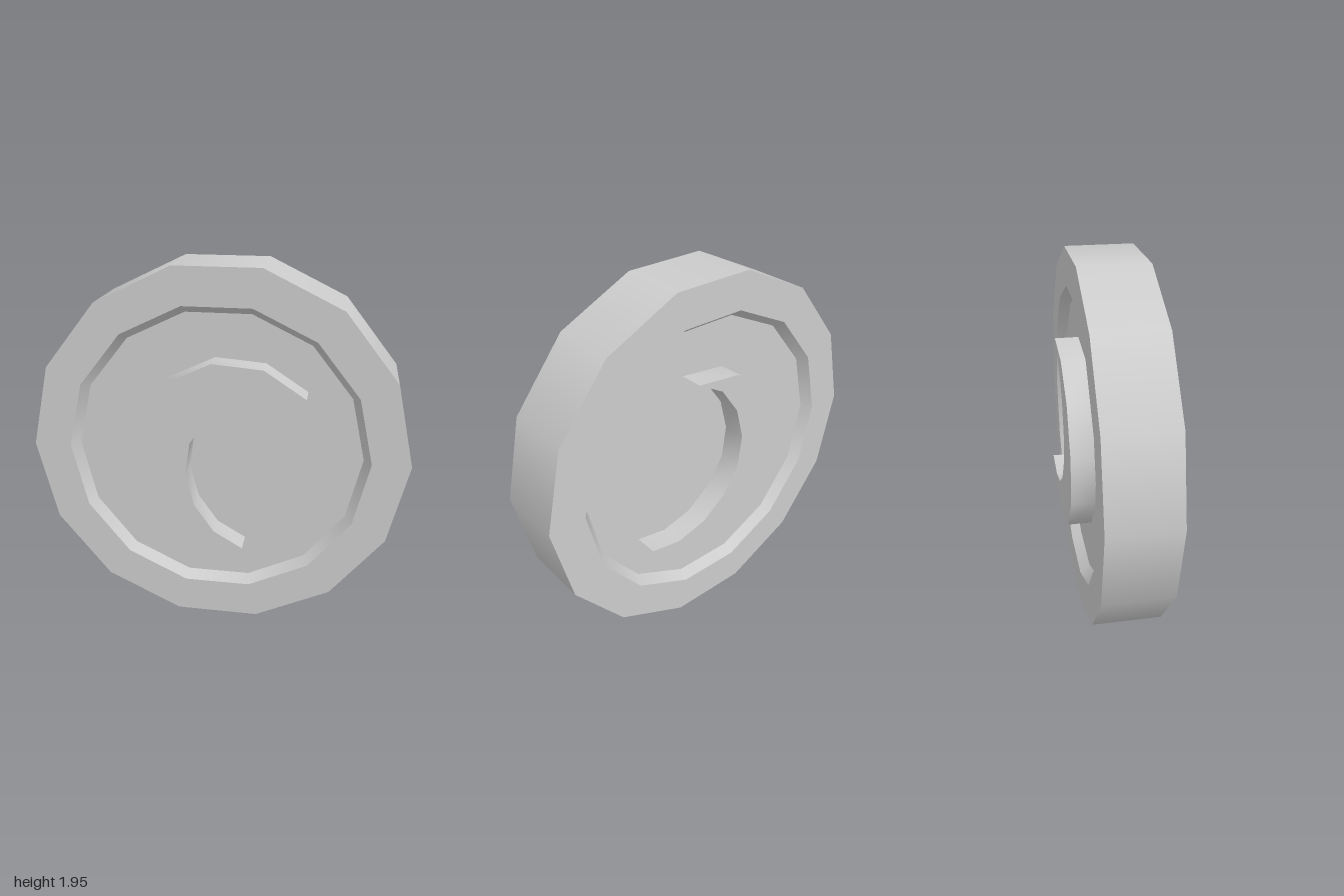
import * as THREE from 'three';
import { toCreasedNormals } from 'three/addons/utils/BufferGeometryUtils.js';

const SIDES = 14;
const CENTRE_Y = Math.cos(Math.PI / SIDES);
const FLOOR_Z = 0.125;

export function createModel() {
  const metal = new THREE.MeshStandardMaterial({ color: 0xcccccc });
  metal.name = 'light grey metal';

  const coin = new THREE.Group();
  coin.name = 'coin';
  coin.position.y = CENTRE_Y;

  // Disc: one lathe band per face so the edges between bands stay sharp
  const profile = [
    [0, -FLOOR_Z], [0.76, -FLOOR_Z], [0.8, -0.18], [1, -0.18],
    [1, 0.18], [0.8, 0.18], [0.76, FLOOR_Z], [0, FLOOR_Z],
  ].map(([r, z]) => new THREE.Vector2(r, z));
  const names = ['backFloor', 'backBevel', 'backRim', 'edge', 'frontRim', 'frontBevel', 'frontFloor'];
  names.forEach((name, i) => {
    const band = new THREE.LatheGeometry([profile[i], profile[i + 1]], SIDES, Math.PI / 2);
    band.rotateX(Math.PI / 2);
    const mesh = new THREE.Mesh(band, metal);
    mesh.name = name;
    coin.add(mesh);
  });

  // Raised crescent: outer arc from the upper tip, then inner arc back
  const outline = [
    [0.46, 1.33], [0.245, 1.47], [-0.015, 1.49], [-0.255, 1.375], [-0.405, 1.16],
    [-0.43, 0.895], [-0.32, 0.645], [-0.11, 0.497], [0.148, 0.466],
    [-0.005, 0.555], [-0.11, 0.705], [-0.155, 0.88], [-0.13, 1.06],
    [-0.03, 1.21], [0.11, 1.315], [0.285, 1.36],
  ].map(([x, y]) => new THREE.Vector2(x, y - CENTRE_Y));
  const extruded = new THREE.ExtrudeGeometry(new THREE.Shape(outline), {
    depth: 0.25 - FLOOR_Z, bevelEnabled: false,
  });
  extruded.translate(0, 0, FLOOR_Z);
  const crescent = toCreasedNormals(extruded, 0.9);

  // The back crescent is the front one turned over about the x axis
  for (const [name, turn] of [['frontCrescent', 0], ['backCrescent', Math.PI]]) {
    const mesh = new THREE.Mesh(crescent, metal);
    mesh.name = name;
    mesh.rotation.x = turn;
    coin.add(mesh);
  }

  const model = new THREE.Group();
  model.name = 'crescentCoin';
  model.add(coin);
  return model;
}
